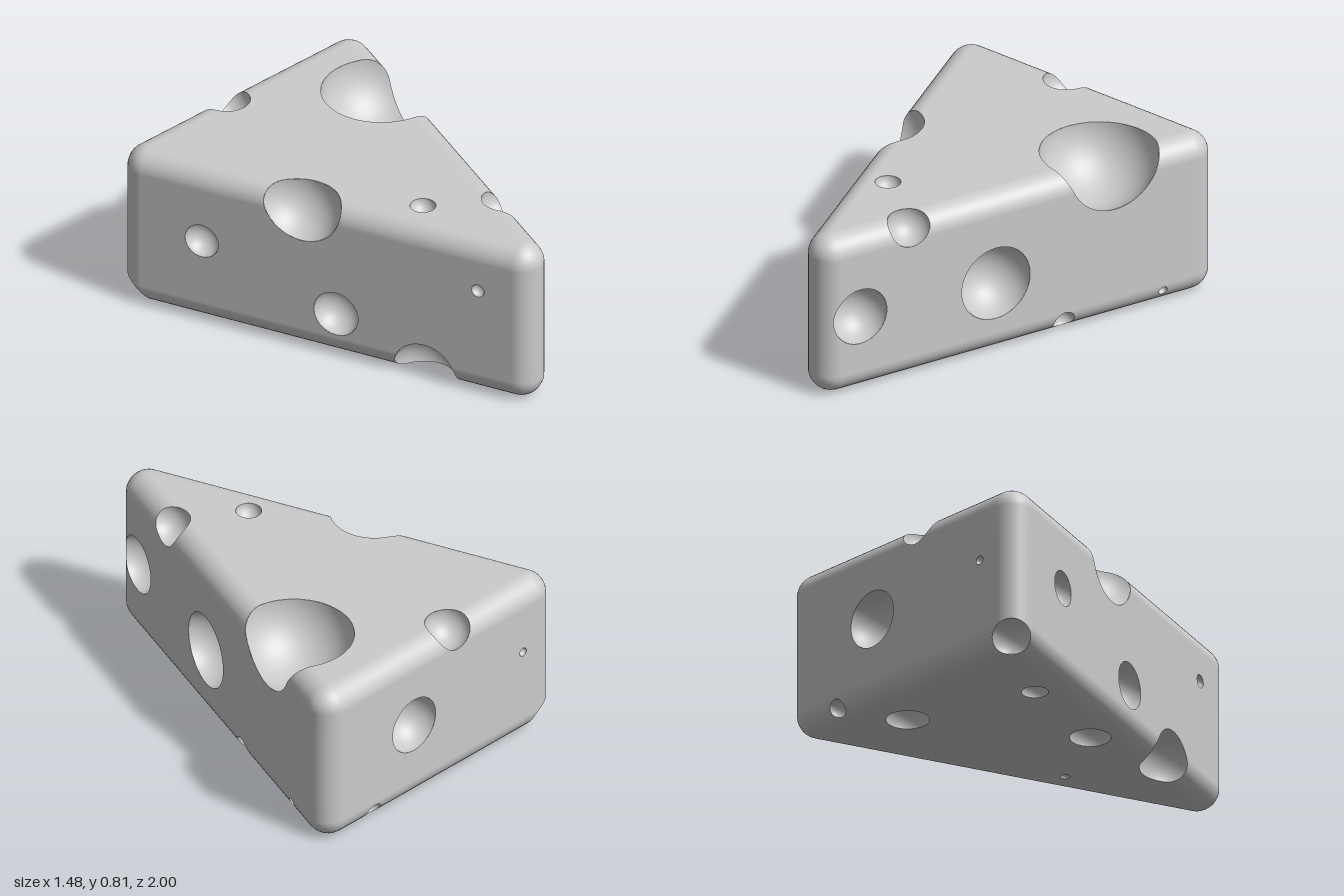
import * as THREE from 'three';

const R = 0.105;          // edge rounding
const HEIGHT = 0.81;
const STEPS = 8;          // facets per rounded edge
// Core triangle (x, z): the wedge is this prism grown by R
const CORE = [[0.636, -0.895], [0, 0.8975], [-0.636, -0.895]];
const SIDE = Math.atan2(0.355, 1);
const ANGLES = [-Math.PI / 2, SIDE, Math.PI - SIDE, 1.5 * Math.PI];

// Bubbles: x, y, z, radius
const BUBBLES = [
  // top
  [0.455, 0.81, -0.495, 0.278], [-0.5, 0.78, -0.07, 0.205], [-0.105, 0.785, -0.935, 0.11],
  [-0.105, 0.81, 0.355, 0.06], [0.2, 0.78, 0.57, 0.105],
  // left side (+x)
  [0.132, 0.39, 0.84, 0.14], [0.376, 0.362, 0.157, 0.183],
  [0.487, 0.05, -0.2, 0.055], [0.665, 0.07, -0.695, 0.023],
  // right side (-x)
  [-0.63, 0.435, -0.563, 0.085], [-0.4, 0.23, 0.085, 0.113],
  [-0.157, 0.555, 0.77, 0.032], [-0.25, 0.025, 0.51, 0.16],
  // back
  [0.18, 0.41, -1, 0.14], [-0.53, 0.47, -1, 0.022],
  [0.43, 0.045, -0.98, 0.045], [-0.69, 0.03, -0.95, 0.1],
  // underside
  [0.222, 0, -0.732, 0.1], [-0.22, 0, 0.007, 0.095],
  [-0.4, 0, -0.52, 0.062], [0.166, 0, 0.22, 0.022],
].map(([x, y, z, r]) => ({ center: new THREE.Vector3(x, y, z), r }));

// Signed distance to the rounded wedge, negative inside
function wedgeDistance(p) {
  let near = Infinity, outside = -Infinity;
  CORE.forEach(([ax, az], i) => {
    const [bx, bz] = CORE[(i + 1) % 3];
    const ex = bx - ax, ez = bz - az, px = p.x - ax, pz = p.z - az;
    const t = THREE.MathUtils.clamp((px * ex + pz * ez) / (ex * ex + ez * ez), 0, 1);
    near = Math.min(near, Math.hypot(px - t * ex, pz - t * ez));
    outside = Math.max(outside, (px * ez - pz * ex) / Math.hypot(ex, ez));
  });
  const d = outside > 0 ? near : -near;
  const e = Math.abs(p.y - HEIGHT / 2) - (HEIGHT / 2 - R);
  return Math.hypot(Math.max(d, 0), Math.max(e, 0)) + Math.min(Math.max(d, e), 0) - R;
}

// Distance to the nearest bubble, negative inside one
const bubbleDistance = (p) =>
  Math.min(...BUBBLES.map(({ center, r }) => p.distanceTo(center) - r));

const vertex = (p, n) => ({ p, n });
const mix = (a, b, t) => vertex(a.p.clone().lerp(b.p, t), a.n.clone().lerp(b.n, t).normalize());

// Keeps the part of the triangles where f > 0, refining them along the cut
function clip(triangles, f, size) {
  const positions = [], normals = [];
  const emit = (...corners) => corners.forEach(({ p, n }) => {
    positions.push(p.x, p.y, p.z);
    normals.push(n.x, n.y, n.z);
  });
  const visit = (tri) => {
    const lengths = tri.map((v, i) => v.p.distanceTo(tri[(i + 1) % 3].p));
    const longest = Math.max(...lengths);
    const middle = tri[0].p.clone().add(tri[1].p).add(tri[2].p).divideScalar(3);
    const fm = f(middle);
    if (Math.abs(fm) > longest) {
      if (fm > 0) emit(...tri);
      return;
    }
    if (longest > size) {
      const i = lengths.indexOf(longest);
      const a = tri[i], b = tri[(i + 1) % 3], c = tri[(i + 2) % 3], m = mix(a, b, 0.5);
      visit([a, m, c]);
      visit([m, b, c]);
      return;
    }
    const values = tri.map((v) => f(v.p));
    const kept = [];
    tri.forEach((v, i) => {
      const j = (i + 1) % 3;
      if (values[i] > 0) kept.push(v);
      if ((values[i] > 0) !== (values[j] > 0)) {
        kept.push(mix(v, tri[j], values[i] / (values[i] - values[j])));
      }
    });
    for (let k = 2; k < kept.length; k++) emit(kept[0], kept[k - 1], kept[k]);
  };
  triangles.forEach(visit);
  const geometry = new THREE.BufferGeometry();
  geometry.setAttribute('position', new THREE.Float32BufferAttribute(positions, 3));
  geometry.setAttribute('normal', new THREE.Float32BufferAttribute(normals, 3));
  return geometry;
}

// Rounded triangular prism: one upright profile per outline point
function wedgeTriangles() {
  const columns = [];
  CORE.forEach(([cx, cz], corner) => {
    for (let s = 0; s <= STEPS; s++) {
      const a = THREE.MathUtils.lerp(ANGLES[corner], ANGLES[corner + 1], s / STEPS);
      const column = [];
      for (const half of [0, 1]) {
        for (let k = 0; k <= STEPS; k++) {
          const phi = (half - 1 + k / STEPS) * Math.PI / 2;
          const n = new THREE.Vector3(Math.cos(a) * Math.cos(phi), Math.sin(phi), Math.sin(a) * Math.cos(phi));
          const base = new THREE.Vector3(cx, half ? HEIGHT - R : R, cz);
          column.push(vertex(base.addScaledVector(n, R), n));
        }
      }
      columns.push(column);
    }
  });
  const triangles = [];
  columns.forEach((a, i) => {
    const b = columns[(i + 1) % columns.length];
    for (let j = 0; j < a.length - 1; j++) {
      triangles.push([a[j], a[j + 1], b[j]], [b[j], a[j + 1], b[j + 1]]);
    }
  });
  // Flat top and underside
  const cap = (y, ny) => CORE.map(([x, z]) => vertex(new THREE.Vector3(x, y, z), new THREE.Vector3(0, ny, 0)));
  triangles.push(cap(0, -1), cap(HEIGHT, 1).reverse());
  return triangles;
}

// Sphere turned inside out
function bubbleTriangles({ center, r }) {
  const detail = r > 0.08 ? 40 : 24;
  const sphere = new THREE.SphereGeometry(1, detail, detail * 0.6).toNonIndexed();
  const points = sphere.getAttribute('position');
  const corner = (i) => {
    const d = new THREE.Vector3().fromBufferAttribute(points, i);
    return vertex(center.clone().addScaledVector(d, r), d.negate());
  };
  const triangles = [];
  for (let i = 0; i < points.count; i += 3) triangles.push([corner(i), corner(i + 2), corner(i + 1)]);
  return triangles;
}

export function createModel() {
  const group = new THREE.Group();
  group.name = 'cheeseWedge';
  const material = new THREE.MeshStandardMaterial({ color: 0xcccccc });
  const add = (name, geometry) => {
    const mesh = new THREE.Mesh(geometry, material);
    mesh.name = name;
    group.add(mesh);
  };

  // Wedge with the openings cut out
  add('wedge', clip(wedgeTriangles(), bubbleDistance, 0.01));

  // Hollow walls behind the openings
  BUBBLES.forEach((bubble, i) => {
    const walls = clip(bubbleTriangles(bubble), (p) => -wedgeDistance(p), bubble.r * 0.12);
    add(`hole${i + 1}`, walls);
  });
  return group;
}
